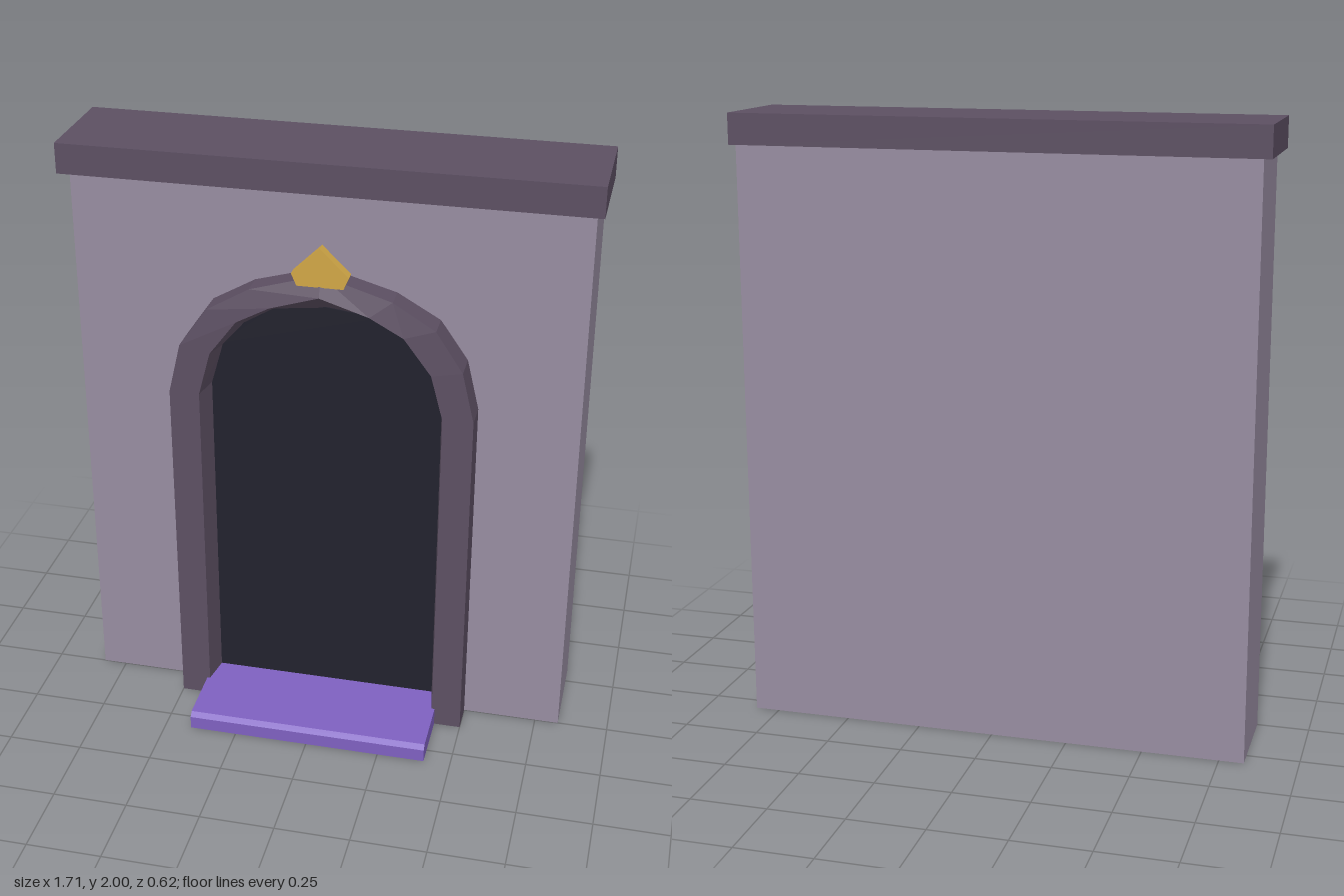
import * as THREE from 'three';

const material = (name, color) => {
  const m = new THREE.MeshStandardMaterial({ color, flatShading: true });
  m.name = name;
  return m;
};

// Half of the arch, base to crown: outer x,y and its z, front inner x,y, back inner x,y
const HALF = [
  [0.50, 0.00, 0.10, 0.40, 0.00, 0.38, 0.00],
  [0.50, 1.20, 0.10, 0.40, 1.20, 0.38, 1.20],
  [0.46, 1.37, 0.10, 0.36, 1.35, 0.34, 1.34],
  [0.37, 1.50, 0.09, 0.27, 1.47, 0.27, 1.42],
  [0.23, 1.58, 0.08, 0.16, 1.53, 0.17, 1.48],
  [0.00, 1.645, 0.07, 0.00, 1.58, 0.00, 1.50],
];
const mirrorX = (r) => [-r[0], r[1], r[2], -r[3], r[4], -r[5], r[6]];
const STATIONS = [...HALF.map(mirrorX), ...HALF.slice(0, -1).reverse()];

// Sweeps a four-cornered section around the doorway
function archGeometry() {
  const rings = STATIONS.map(([ox, oy, oz, fx, fy, bx, by]) => [
    [ox, oy, -0.01], [ox, oy, oz], [fx, fy, 0.10], [bx, by, -0.01],
  ]);
  const pos = [];
  const quad = (a, b, c, d) => pos.push(...a, ...b, ...c, ...a, ...c, ...d);
  for (let i = 0; i < rings.length - 1; i++) {
    for (let j = 0; j < 4; j++) {
      const k = (j + 1) % 4;
      quad(rings[i][j], rings[i][k], rings[i + 1][k], rings[i + 1][j]);
    }
  }
  const first = rings[0];
  quad(first[0], first[3], first[2], first[1]);
  quad(...rings[rings.length - 1]);
  const geo = new THREE.BufferGeometry();
  geo.setAttribute('position', new THREE.Float32BufferAttribute(pos, 3));
  geo.computeVertexNormals();
  return geo;
}

function extrude(points, depth, z) {
  const shape = new THREE.Shape(points.map(([x, y]) => new THREE.Vector2(x, y)));
  return new THREE.ExtrudeGeometry(shape, { depth, bevelEnabled: false }).translate(0, 0, z);
}

// Box given by its limits
function box(x, y0, y1, z0, z1) {
  return new THREE.BoxGeometry(2 * x, y1 - y0, z1 - z0)
    .translate(0, (y0 + y1) / 2, (z0 + z1) / 2);
}

export function createModel() {
  const stone = material('wallStone', 0x978ca0);
  const trim = material('darkTrim', 0x5c4f62);
  const dark = material('doorwayDark', 0x22222d);
  const purple = material('purpleStep', 0x7e60c0);
  const gold = material('gold', 0xd0a646);

  const group = new THREE.Group();
  group.name = 'doorway';
  const add = (name, geometry, mat) => {
    const mesh = new THREE.Mesh(geometry, mat);
    mesh.name = name;
    group.add(mesh);
  };

  add('wall', box(0.83, 0, 1.9, -0.31, 0), stone);
  add('cornice', box(0.855, 1.9, 2, -0.31, 0.05), trim);
  add('archFrame', archGeometry(), trim);

  // Dark panel filling the opening, tucked slightly under the frame
  const opening = STATIONS.map((s) => [s[5] * 1.02, s[6] * 1.005]);
  add('doorPanel', extrude(opening, 0.006, 0), dark);

  // Step with a slightly sloped front edge, profile drawn as z,y
  const stepProfile = [[0, 0], [0.31, 0], [0.31, 0.045], [0.295, 0.06], [0, 0.065]];
  add('step', extrude(stepProfile, 0.82, -0.41).rotateY(-Math.PI / 2), purple);

  // Pointed keystone ornament
  const ornament = [[-0.075, 1.61], [0.075, 1.61], [0.092, 1.65], [0, 1.74], [-0.092, 1.65]];
  add('keystone', extrude(ornament, 0.035, 0.05), gold);

  return group;
}
